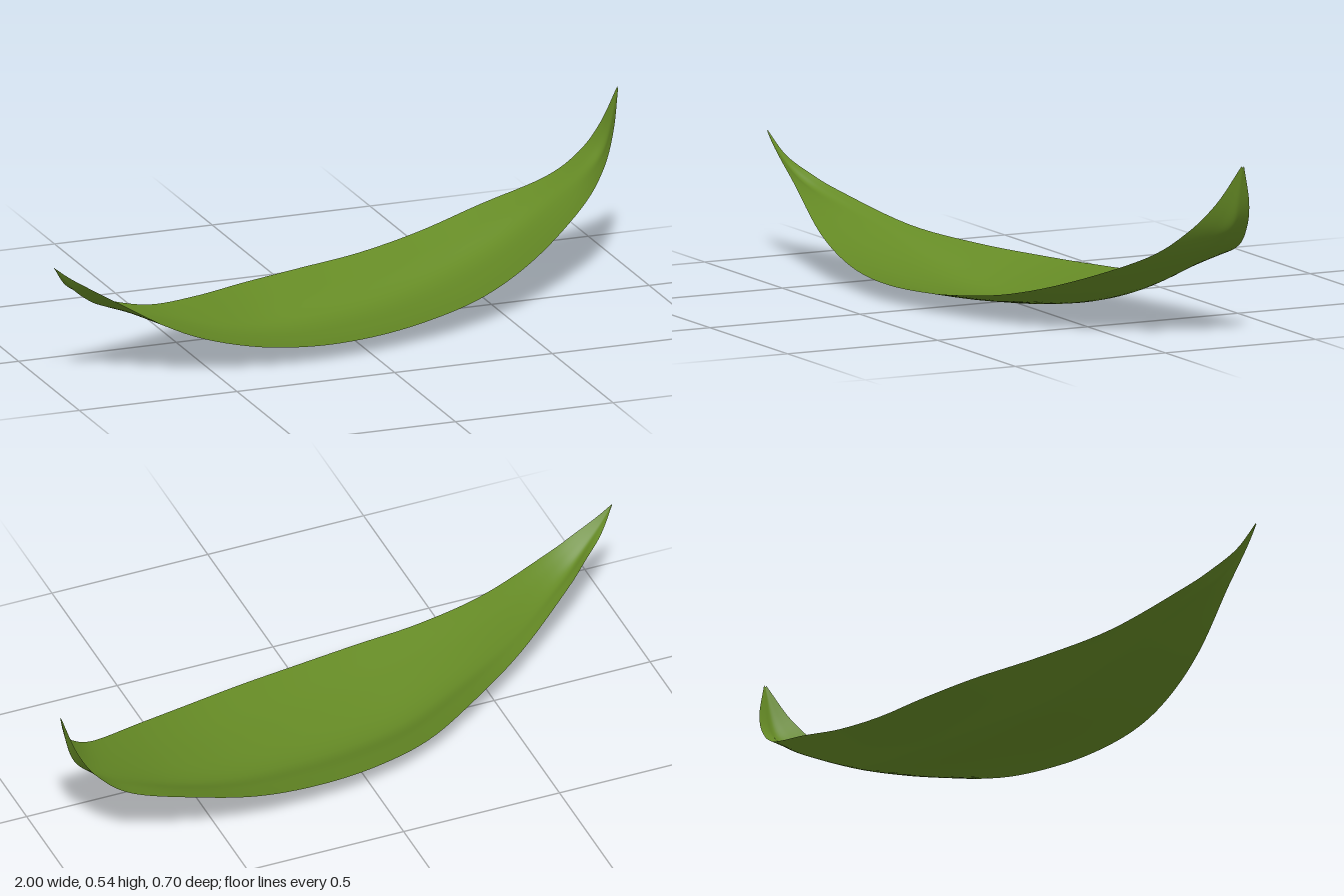
import * as THREE from 'three';

// Stations along the leaf: x, back edge (z, y), midrib (z, y), front edge (z, y)
const STATIONS = [
  [-1.0, 0.29, 0.38, 0.292, 0.378, 0.293, 0.38],
  [-0.95, 0.255, 0.31, 0.277, 0.318, 0.297, 0.342],
  [-0.88, 0.21, 0.262, 0.25, 0.255, 0.301, 0.298],
  [-0.8, 0.155, 0.218, 0.21, 0.21, 0.305, 0.25],
  [-0.6, 0.025, 0.137, 0.11, 0.125, 0.325, 0.139],
  [-0.4, -0.1, 0.102, 0.05, 0.052, 0.34, 0.08],
  [-0.2, -0.215, 0.086, -0.01, 0.008, 0.344, 0.057],
  [0.0, -0.28, 0.087, -0.05, 0.003, 0.32, 0.055],
  [0.2, -0.315, 0.1, -0.085, 0.02, 0.275, 0.07],
  [0.4, -0.34, 0.135, -0.13, 0.06, 0.205, 0.1],
  [0.6, -0.35, 0.194, -0.17, 0.13, 0.1, 0.16],
  [0.8, -0.34, 0.258, -0.215, 0.235, -0.04, 0.25],
  [0.9, -0.322, 0.33, -0.235, 0.302, -0.12, 0.332],
  [0.96, -0.3, 0.42, -0.25, 0.375, -0.19, 0.425],
  [1.0, -0.262, 0.54, -0.258, 0.535, -0.254, 0.54],
];

// Smooth lengthwise curve through one column pair of the stations
const rail = (k) => new THREE.CatmullRomCurve3(
  STATIONS.map((s) => new THREE.Vector3(s[0], s[k + 1], s[k])), false, 'catmullrom', 0.5);

function leafGeometry(rows, cols) {
  const back = rail(1), rib = rail(3), front = rail(5);
  const pos = [], index = [];
  for (let i = 0; i <= rows; i++) {
    const t = i / rows;
    const b = back.getPoint(t), m = rib.getPoint(t), f = front.getPoint(t);
    // The front half sags a little between midrib and edge
    const q1 = b.clone().lerp(m, 0.5);
    const q2 = m.clone().lerp(f, 0.5);
    q2.y -= 0.03 * m.distanceTo(f);
    const section = new THREE.CatmullRomCurve3([b, q1, m, q2, f]);
    for (let j = 0; j <= cols; j++) {
      const p = section.getPoint(j / cols);
      pos.push(p.x, Math.max(p.y, 0), p.z);
      if (i < rows && j < cols) {
        const a = i * (cols + 1) + j, c = a + cols + 1;
        index.push(a, a + 1, c, a + 1, c + 1, c);
      }
    }
  }
  const g = new THREE.BufferGeometry();
  g.setAttribute('position', new THREE.Float32BufferAttribute(pos, 3));
  g.setIndex(index);
  g.computeVertexNormals();
  return g;
}

export function createModel() {
  const group = new THREE.Group();
  group.name = 'leaf';
  const leafGreen = new THREE.MeshStandardMaterial({ color: 0x658a25, side: THREE.DoubleSide });
  leafGreen.name = 'leaf green';

  // Curled blade, one thin sheet
  const blade = new THREE.Mesh(leafGeometry(84, 20), leafGreen);
  blade.name = 'leafBlade';
  group.add(blade);
  return group;
}
